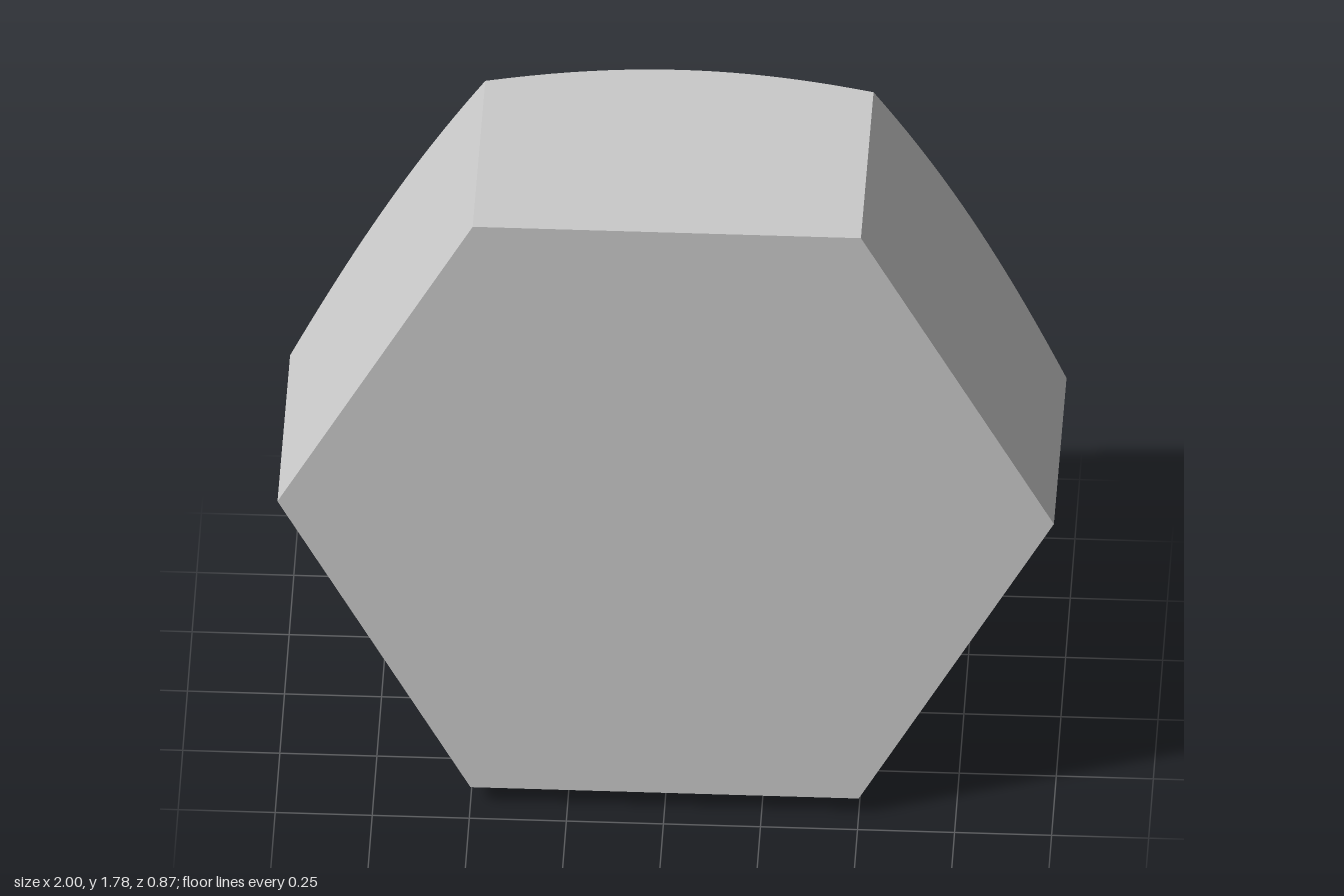
import * as THREE from 'three';

const APOTHEM = Math.sqrt(3) / 2; // hexagon with corner radius 1
const HALF = 0.378;               // half thickness
const CHAMFER = Math.PI / 6;      // slope of the back chamfer
const TILT = THREE.MathUtils.degToRad(-4);
const STEPS = 20;                 // segments per hexagon side

// Strip over one 60 degree sector; pointA/pointB give its two edges, normal its shading
function sectorStrip(side, pointA, pointB, normal) {
  const positions = [], normals = [], index = [];
  const mid = (side + 0.5) * Math.PI / 3;
  for (let i = 0; i <= STEPS; i++) {
    const angle = (side + i / STEPS) * Math.PI / 3;
    const radius = APOTHEM / Math.cos(angle - mid);
    const n = normal(angle, mid);
    positions.push(...pointA(angle, radius), ...pointB(angle, radius));
    normals.push(...n, ...n);
    if (i < STEPS) {
      const a = 2 * i;
      index.push(a, a + 1, a + 3, a, a + 3, a + 2);
    }
  }
  const geometry = new THREE.BufferGeometry();
  geometry.setAttribute('position', new THREE.Float32BufferAttribute(positions, 3));
  geometry.setAttribute('normal', new THREE.Float32BufferAttribute(normals, 3));
  geometry.setIndex(index);
  return geometry;
}

const polar = (angle, radius, z) => [radius * Math.cos(angle), radius * Math.sin(angle), z];
const frontEdge = (angle, radius) => polar(angle, radius, HALF);
// Curve where the chamfer cone meets the flat side
const chamferEdge = (angle, radius) =>
  polar(angle, radius, -HALF + (radius - APOTHEM) * Math.tan(CHAMFER));
const backCircle = (angle) => polar(angle, APOTHEM, -HALF);

export function createModel() {
  const model = new THREE.Group();
  model.name = 'hexBoltHead';
  const material = new THREE.MeshStandardMaterial({ color: 0xcccccc });
  const head = new THREE.Group();
  head.name = 'hexHead';

  const add = (name, geometry) => {
    const mesh = new THREE.Mesh(geometry, material);
    mesh.name = name;
    head.add(mesh);
    return mesh;
  };

  // Flat hexagonal front and round back face
  add('frontFace', new THREE.CircleGeometry(1, 6)).position.z = HALF;
  const back = add('backFace', new THREE.CircleGeometry(APOTHEM, 6 * STEPS));
  back.position.z = -HALF;
  back.rotation.y = Math.PI;

  // Six flat sides with the conical chamfer behind them
  for (let side = 0; side < 6; side++) {
    add('sideFlat' + (side + 1), sectorStrip(side, frontEdge, chamferEdge,
      (angle, mid) => polar(mid, 1, 0)));
    add('chamfer' + (side + 1), sectorStrip(side, chamferEdge, backCircle,
      (angle) => polar(angle, Math.sin(CHAMFER), -Math.cos(CHAMFER))));
  }

  // Lean back slightly and rest on the lower back edge
  head.rotation.x = TILT;
  head.position.y = APOTHEM * Math.cos(TILT) + HALF * Math.sin(-TILT);
  model.add(head);
  return model;
}
